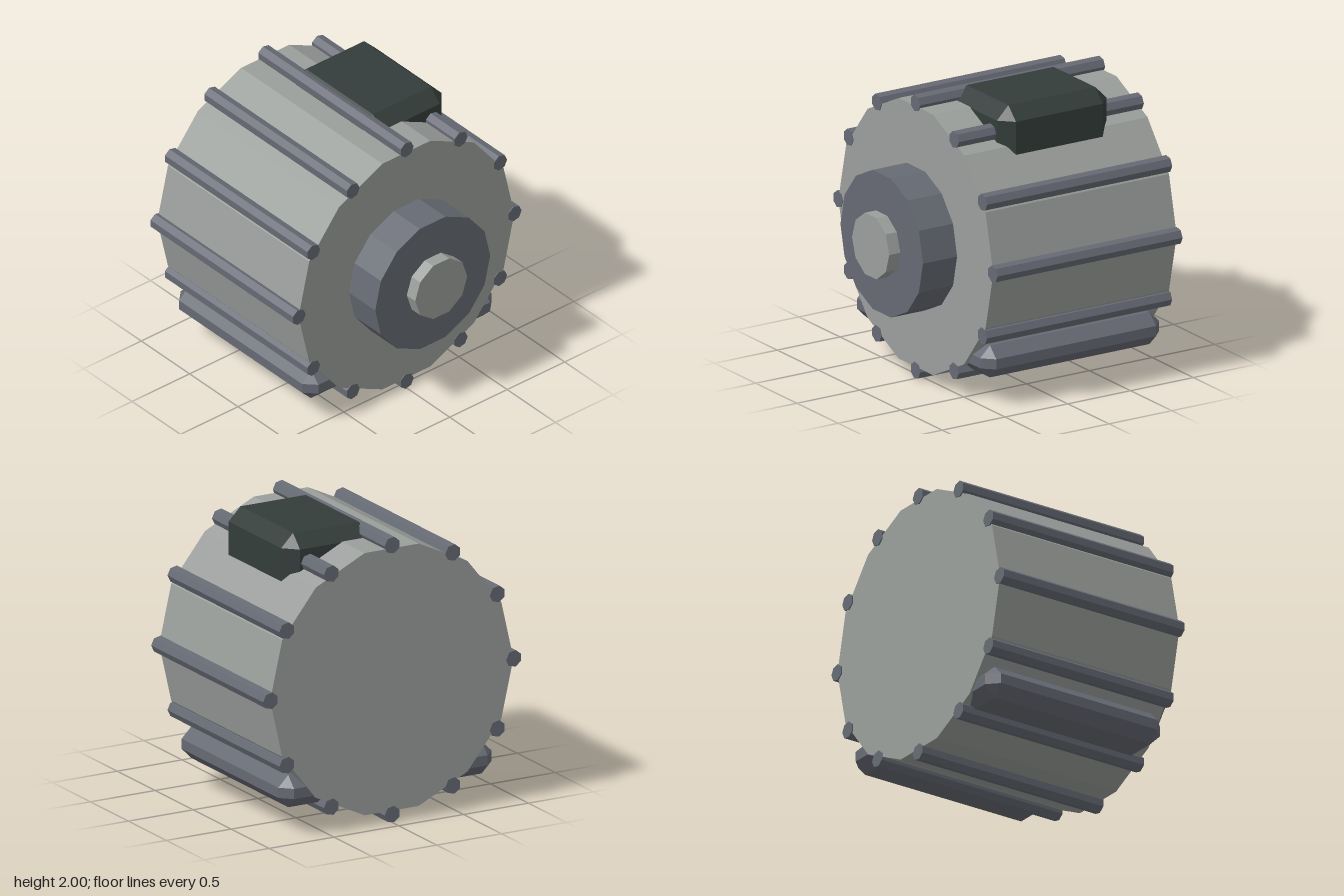
import * as THREE from 'three';
import { ConvexGeometry } from 'three/addons/geometries/ConvexGeometry.js';

const material = (name, color) => {
  const m = new THREE.MeshStandardMaterial({ color });
  m.name = name;
  return m;
};

// Faceted cylinder lying along x, from x0 to x1
function barrel(radius, x0, x1, sides, start = 0) {
  const indexed = new THREE.CylinderGeometry(radius, radius, x1 - x0, sides, 1, false, start);
  indexed.rotateZ(-Math.PI / 2).translate((x0 + x1) / 2, 0, 0);
  const geometry = indexed.toNonIndexed();
  geometry.computeVertexNormals();
  return geometry;
}

// Box between two corners with every edge chamfered by b
function chamferBox(min, max, b) {
  const points = [];
  for (let corner = 0; corner < 8; corner++) {
    for (let full = 0; full < 3; full++) {
      const p = [0, 1, 2].map((axis) => {
        const inset = axis === full ? 0 : b;
        return corner & (1 << axis) ? max[axis] - inset : min[axis] + inset;
      });
      points.push(new THREE.Vector3(...p));
    }
  }
  return new ConvexGeometry(points);
}

export function createModel() {
  const model = new THREE.Group();
  model.name = 'electricMotor';
  const casing = material('casing grey', 0x9b9f9c);
  const steel = material('steel grey', 0x666a73);
  const dark = material('dark cover', 0x343d3b);
  const axisY = 0.9975;

  const add = (name, geometry, mat, y = 0, z = 0) => {
    const mesh = new THREE.Mesh(geometry, mat);
    mesh.name = name;
    mesh.position.set(0, y, z);
    model.add(mesh);
  };

  // Housing, end boss and shaft on one axis
  add('housing', barrel(0.938, -0.908, 0.553, 14), casing, axisY);
  add('endBoss', barrel(0.5, 0.54, 0.825, 14), steel, axisY);
  add('shaft', barrel(0.226, 0.81, 0.913, 10), casing, axisY);

  // Ring of twelve cooling ribs
  const rib = barrel(0.059, -0.916, 0.558, 7, Math.PI);
  for (let i = 0; i < 12; i++) {
    const a = (i * Math.PI) / 6;
    add('coolingRib' + (i + 1), rib, steel, axisY + 0.938 * Math.sin(a), 0.938 * Math.cos(a));
  }

  // Mounting feet along the front and back
  add('frontFoot', chamferBox([-0.895, 0.2, 0.36], [0.53, 0.425, 0.823], 0.077), steel);
  add('backFoot', chamferBox([-0.895, 0.2, -0.823], [0.53, 0.425, -0.36], 0.077), steel);

  // Terminal box on the upper back
  add('terminalBox', chamferBox([-0.615, 1.5, -0.628], [0.26, 2, 0.06], 0.092), dark);

  return model;
}
